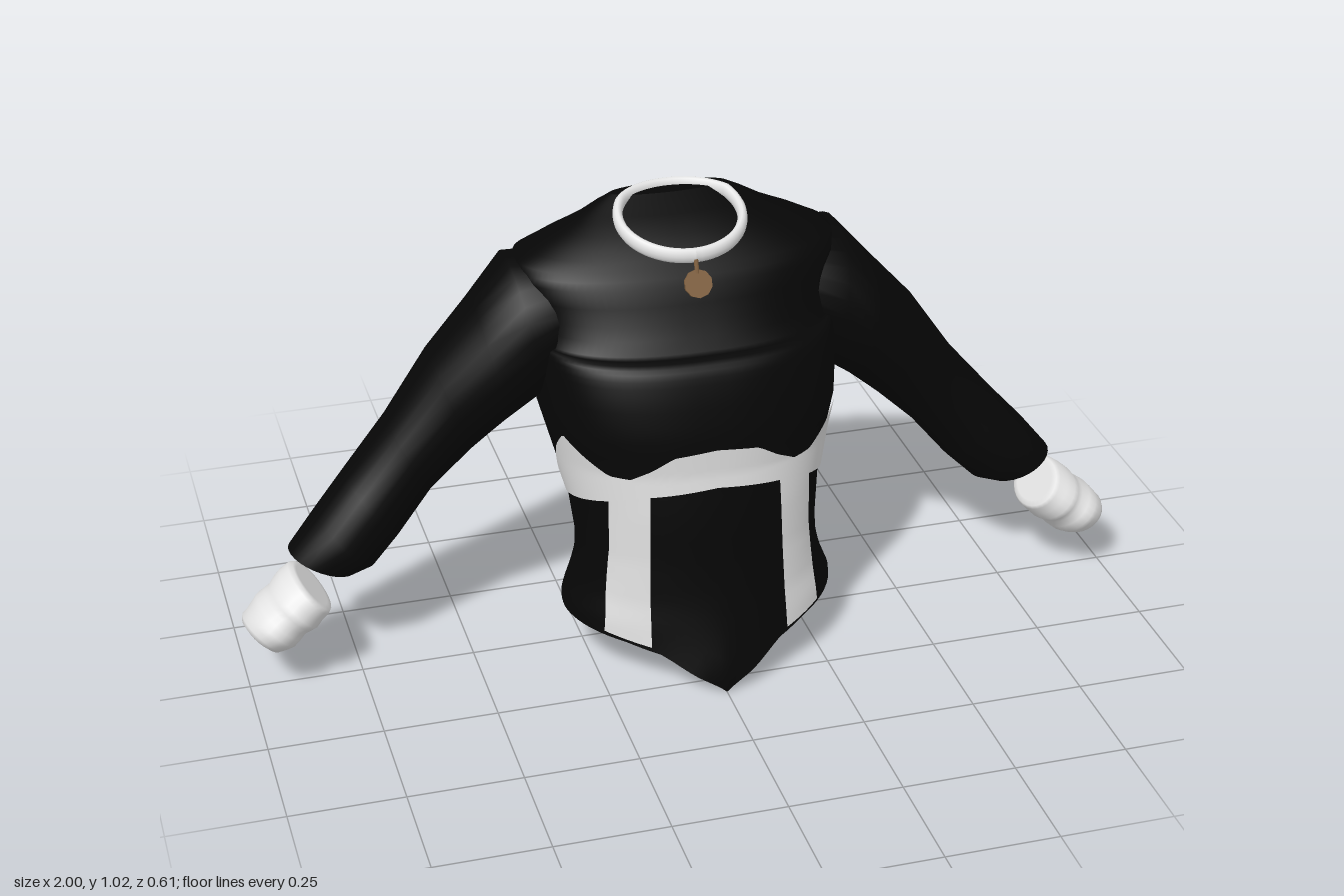
import * as THREE from 'three';

const mat = (name, color, side = THREE.FrontSide) => {
  const m = new THREE.MeshStandardMaterial({ color, side });
  m.name = name;
  return m;
};

// Piecewise linear lookup: rows are [key, ...values]
function lookup(rows, k) {
  if (k <= rows[0][0]) return rows[0].slice(1);
  for (let i = 1; i < rows.length; i++) {
    if (k <= rows[i][0]) {
      const a = rows[i - 1], b = rows[i], t = (k - a[0]) / (b[0] - a[0]);
      return a.slice(1).map((v, j) => v + (b[j + 1] - v) * t);
    }
  }
  return rows[rows.length - 1].slice(1);
}

// Surface through rows of points; closed rings may be capped at both ends
function loft(rows, closed, capStart, capEnd) {
  const pos = [], idx = [], n = rows[0].length;
  rows.forEach(r => r.forEach(p => pos.push(p.x, p.y, p.z)));
  const last = closed ? n : n - 1;
  for (let i = 0; i < rows.length - 1; i++) {
    for (let j = 0; j < last; j++) {
      const k = (j + 1) % n;
      const a = i * n + j, b = i * n + k, c = a + n, d = b + n;
      idx.push(a, b, d, a, d, c);
    }
  }
  const cap = (ring, centre, flip) => {
    const o = pos.length / 3;
    [centre, ...ring].forEach(p => pos.push(p.x, p.y, p.z));
    for (let j = 0; j < n; j++) {
      const a = o + 1 + j, b = o + 1 + (j + 1) % n;
      if (flip) idx.push(o, b, a); else idx.push(o, a, b);
    }
  };
  if (capStart) cap(rows[0], capStart, true);
  if (capEnd) cap(rows[rows.length - 1], capEnd, false);
  const g = new THREE.BufferGeometry();
  g.setAttribute('position', new THREE.Float32BufferAttribute(pos, 3));
  g.setIndex(idx);
  g.computeVertexNormals();
  return g;
}

const centroid = ring => ring.reduce((s, p) => s.add(p), new THREE.Vector3()).divideScalar(ring.length);

// Torso profile: height, half width, front z, back z, squareness power at front and back
const BODY = [
  [0.00, 0.300, 0.307, -0.150, 1.2, 1.0], [0.04, 0.305, 0.307, -0.150, 1.2, 1.0],
  [0.10, 0.307, 0.290, -0.155, 1.18, 1.0], [0.15, 0.305, 0.276, -0.158, 1.12, 1.0],
  [0.20, 0.285, 0.264, -0.155, 1.06, 1.0], [0.25, 0.272, 0.255, -0.145, 1.0, 1.0],
  [0.30, 0.270, 0.249, -0.145, 1.0, 1.0], [0.40, 0.280, 0.240, -0.178, 0.97, 0.95],
  [0.50, 0.305, 0.222, -0.225, 0.92, 0.85], [0.58, 0.325, 0.220, -0.262, 0.87, 0.75],
  [0.65, 0.330, 0.205, -0.290, 0.82, 0.65], [0.70, 0.330, 0.190, -0.300, 0.80, 0.6],
  [0.728, 0.330, 0.178, -0.304, 0.80, 0.58], [0.742, 0.330, 0.160, -0.305, 0.80, 0.58],
  [0.746, 0.330, 0.124, -0.305, 0.82, 0.58], [0.80, 0.338, 0.090, -0.296, 0.85, 0.6],
  [0.87, 0.358, 0.055, -0.276, 0.85, 0.65], [0.90, 0.352, 0.028, -0.264, 0.87, 0.7],
  [0.935, 0.285, -0.010, -0.245, 0.9, 0.8], [0.965, 0.215, -0.055, -0.225, 0.9, 0.9],
  [0.99, 0.165, -0.105, -0.208, 0.95, 0.95], [1.005, 0.130, -0.135, -0.195, 1.0, 1.0],
];
// Hem height by angle away from the front
const HEM = [[0, 0], [0.295, 0.045], [0.51, 0.088], [0.775, 0.108], [1.57, 0.135], [3.15, 0.192]];

const power = (v, p) => Math.sign(v) * Math.pow(Math.abs(v), p);
function bodyPoint(angle, y, out = 0) {
  const [w, zf, zb, pf, pb] = lookup(BODY, y);
  const c = (zf + zb) / 2, d = (zf - zb) / 2, p = Math.cos(angle) > 0 ? pf : pb;
  return new THREE.Vector3((w + out) * power(Math.sin(angle), p), y, c + (d + out) * power(Math.cos(angle), p));
}
// Angle at which the front of the torso reaches a given x
function frontAngle(x, y) {
  const [w, , , p] = lookup(BODY, y);
  return Math.sign(x) * Math.asin(Math.pow(Math.abs(x) / w, 1 / p));
}

function torsoGeometry() {
  const n = 96, rows = [];
  const angles = Array.from({ length: n }, (_, j) => (j / n) * Math.PI * 2 - Math.PI);
  for (let i = 0; i < 8; i++) {
    rows.push(angles.map(a => {
      const h = lookup(HEM, Math.abs(a))[0];
      return bodyPoint(a, h + (0.3 - h) * i / 8);
    }));
  }
  BODY.filter(r => r[0] >= 0.3).forEach((r, i, list) => {
    rows.push(angles.map(a => bodyPoint(a, r[0])));
    const next = list[i + 1];
    if (next) rows.push(angles.map(a => bodyPoint(a, (r[0] + next[0]) / 2)));
  });
  return loft(rows, true, new THREE.Vector3(0, 0.1, 0.07), centroid(rows[rows.length - 1]));
}

// Thin panel hugging the torso; place(u, v) gives [angle, height]
function panel(cols, steps, place) {
  const rows = [];
  for (let i = 0; i <= steps; i++) {
    rows.push(Array.from({ length: cols + 1 }, (_, j) => bodyPoint(...place(j / cols, i / steps), 0.005)));
  }
  return loft(rows, false);
}

// Tube from sections [top x, top y, bottom x, bottom y, back z, front z, slope along z]
function limb(sections, side, n = 28) {
  const rows = sections.map(([tx, ty, bx, by, zb, zf, slope = 0]) => Array.from({ length: n }, (_, j) => {
    const a = (j / n) * Math.PI * 2 * side, c = Math.cos(a) / 2, s = (zf - zb) * Math.sin(a) / 2;
    return new THREE.Vector3(
      side * ((tx + bx) / 2 + (tx - bx) * c), (ty + by) / 2 + (ty - by) * c + slope * s, (zb + zf) / 2 + s);
  }));
  return loft(rows, true, centroid(rows[0]), centroid(rows[rows.length - 1]));
}

const SLEEVE = [
  [0.22, 0.90, 0.25, 0.66, -0.26, 0.0], [0.37, 0.90, 0.32, 0.585, -0.297, 0.042],
  [0.45, 0.81, 0.40, 0.53, -0.268, 0.026], [0.55, 0.70, 0.47, 0.47, -0.240, 0.0],
  [0.65, 0.555, 0.56, 0.385, -0.220, -0.018], [0.75, 0.44, 0.64, 0.29, -0.203, -0.002],
  [0.82, 0.365, 0.70, 0.235, -0.180, 0.015], [0.885, 0.285, 0.74, 0.222, -0.158, 0.0],
];

// Gathered cuff: rounded ends with soft folds between, [position along, size]
const CUFF = [[0, 0.7], [0, 0.86], [0.06, 0.95], [0.2, 1.0], [0.32, 1.03], [0.42, 0.98], [0.52, 0.98],
  [0.64, 1.04], [0.76, 1.03], [0.86, 0.98], [0.95, 0.95], [1, 0.86], [1.03, 0.6]];
function cuffSections() {
  return CUFF.map(([t, s], i) => {
    const cx = 0.845 + 0.12 * t, cy = 0.215 - 0.105 * t, cz = -0.036 + 0.006 * t + 0.004 * Math.sin(i * 1.7);
    const ux = 0.043 * s, uy = (0.052 - 0.008 * t) * s, rz = 0.1 * s;
    return [cx + ux, cy + uy, cx - ux, cy - uy, cz - rz, cz + rz, 0.02 + 0.2 * t];
  });
}

// Slanted neck band of oval section, taller than thick
function neckRing() {
  const height = [[-0.18, 1.002], [-0.12, 0.999], [0.05, 0.937]];
  const rows = Array.from({ length: 65 }, (_, i) => {
    const a = (i / 64) * Math.PI * 2;
    const y = lookup(height, -0.066 + 0.115 * Math.cos(a))[0];
    return Array.from({ length: 12 }, (_, j) => {
      const b = -(j / 12) * Math.PI * 2, r = 0.011 * Math.cos(b);
      return new THREE.Vector3((0.135 + r) * Math.sin(a), y + 0.017 * Math.sin(b), -0.066 + (0.115 + r) * Math.cos(a));
    });
  });
  return loft(rows, true);
}

export function createModel() {
  const group = new THREE.Group();
  const black = mat('black cloth', 0x060606);
  const pale = mat('pale panel', 0xdedede, THREE.DoubleSide);
  const white = mat('white cloth', 0xe4e4e4);
  const bronze = mat('bronze', 0x80603f);
  const add = (name, geometry, material) => {
    const m = new THREE.Mesh(geometry, material);
    m.name = name;
    group.add(m);
    return m;
  };

  add('torso', torsoGeometry(), black);

  // Under-bust band with side wings
  const top = [[0, 0.56], [0.25, 0.55], [0.42, 0.52], [0.6, 0.497], [0.78, 0.50], [0.98, 0.535],
    [1.17, 0.572], [1.35, 0.53], [1.6, 0.45], [1.68, 0.43]];
  const bottom = [[0, 0.472], [0.51, 0.457], [0.91, 0.435], [1.2, 0.42], [1.6, 0.4], [1.68, 0.425]];
  add('bustBand', panel(84, 8, (u, v) => {
    const a = (u * 2 - 1) * 1.68;
    const low = lookup(bottom, Math.abs(a))[0], high = lookup(top, Math.abs(a))[0];
    return [a, low + (high - low) * v];
  }), pale);

  for (const side of [1, -1]) {
    const tag = side > 0 ? 'left' : 'right';
    // Vertical front strip, running from -x to +x on both sides
    add(tag + 'FrontStrip', panel(10, 20, (u, v) => {
      const across = side > 0 ? u : 1 - u;
      const y0 = 0.106 + 0.02 * across, y1 = 0.462 - 0.022 * across, y = y0 + (y1 - y0) * v;
      const inner = 0.152 - 0.01 * v, outer = 0.24 - 0.018 * Math.min(1, v * 1.6);
      return [frontAngle(side * (inner + (outer - inner) * across), y), y];
    }), pale);
    add(tag + 'Sleeve', limb(SLEEVE, side), black);
    add(tag + 'Cuff', limb(cuffSections(), side), white);
  }

  add('neckRing', neckRing(), white);

  // Hanging pendant
  const pendant = add('pendant', new THREE.CylinderGeometry(0.031, 0.031, 0.008, 10), bronze);
  pendant.position.set(0, 0.882, 0.074);
  pendant.rotation.x = Math.PI / 2 - 0.42;
  const link = add('pendantLink', new THREE.CylinderGeometry(0.005, 0.005, 0.03, 8), bronze);
  link.position.set(0, 0.917, 0.061);
  link.rotation.x = -0.3;
  return group;
}
